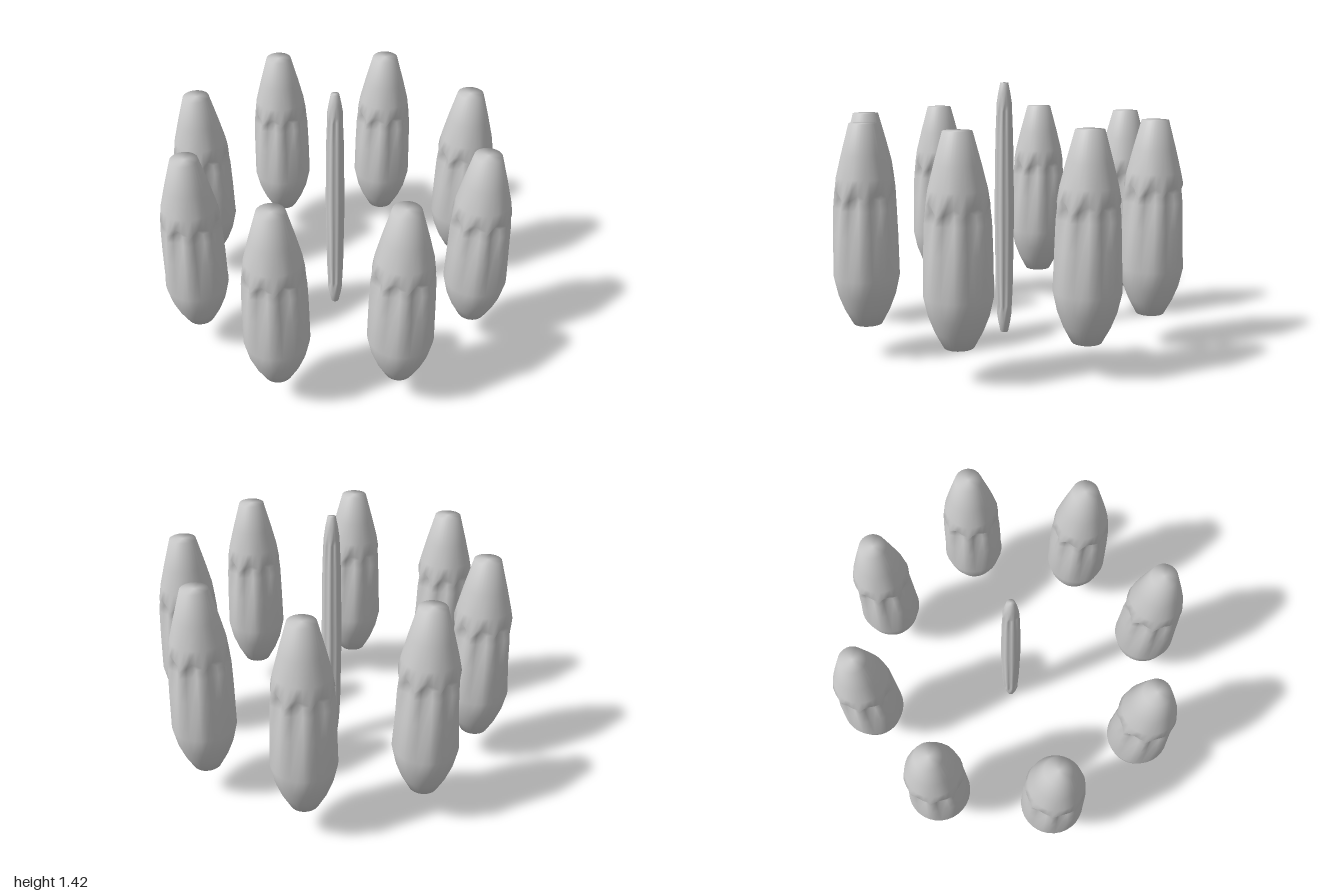
import * as THREE from 'three';

const SIDES = 32, FLUTES = 8;

// Closed spindle from rows of [y, radius, flute depth, scallop drop], bottom to top.
// Depth acts fully at a flute's middle; the drop lowers the rim towards its ridges.
function flutedSpindle(rows, turn = 0) {
  const pos = [], index = [];
  for (const [y, r, depth = 0, drop = 0] of rows) {
    for (let j = 0; j < SIDES; j++) {
      const a = (j / SIDES) * Math.PI * 2;
      const flute = 0.5 + 0.5 * Math.cos(a * FLUTES);
      const radius = r - depth * flute;
      pos.push(Math.sin(a + turn) * radius, y - drop * (1 - flute), Math.cos(a + turn) * radius);
    }
  }
  for (let i = 0; i < rows.length - 1; i++) {
    for (let j = 0; j < SIDES; j++) {
      const k = (j + 1) % SIDES;
      const a = i * SIDES + j, b = i * SIDES + k, c = b + SIDES, d = a + SIDES;
      index.push(a, b, c, a, c, d);
    }
  }
  // end caps share the rim vertices, so the ends shade softly
  const bottom = pos.length / 3, top = bottom + 1, last = (rows.length - 1) * SIDES;
  pos.push(0, rows[0][0], 0, 0, rows[rows.length - 1][0], 0);
  for (let j = 0; j < SIDES; j++) {
    const k = (j + 1) % SIDES;
    index.push(bottom, k, j, top, last + j, last + k);
  }
  const geometry = new THREE.BufferGeometry();
  geometry.setAttribute('position', new THREE.Float32BufferAttribute(pos, 3));
  geometry.setIndex(index);
  geometry.computeVertexNormals();
  return geometry;
}

export function createModel() {
  const model = new THREE.Group();
  model.name = 'podRing';
  const material = new THREE.MeshStandardMaterial({ color: 0xcccccc });

  // Outer pods: rounded base, flutes deepening upwards, scalloped shoulder, tapered nose
  const podGeometry = flutedSpindle([
    [0.18, 0.076], [0.26, 0.119], [0.34, 0.15], [0.44, 0.172],
    [0.66, 0.168, 0.018], [0.8, 0.163, 0.035], [0.865, 0.159, 0.042, 0.03],
    [0.905, 0.156, 0, 0.04], [0.96, 0.144], [1.08, 0.114], [1.235, 0.072],
  ]);
  const ringRadius = 0.828;
  for (let i = 0; i < 8; i++) {
    const a = (i / 8) * Math.PI * 2;
    const pod = new THREE.Mesh(podGeometry, material);
    pod.name = `outerPod${i + 1}`;
    pod.position.set(Math.sin(a) * ringRadius, 0, Math.cos(a) * ringRadius);
    model.add(pod);
  }

  // Slim central rod, fluted between its two tapered ends
  const rod = new THREE.Mesh(flutedSpindle([
    [0, 0.022], [0.06, 0.034], [0.11, 0.042, 0, -0.02], [0.15, 0.045, 0.012, -0.01],
    [0.3, 0.051, 0.01], [0.71, 0.057, 0.008], [1.12, 0.051, 0.01],
    [1.27, 0.045, 0.012, 0.01], [1.31, 0.042, 0, 0.02], [1.36, 0.034], [1.42, 0.022],
  ], Math.PI / FLUTES), material);
  rod.name = 'centralRod';
  model.add(rod);

  return model;
}
